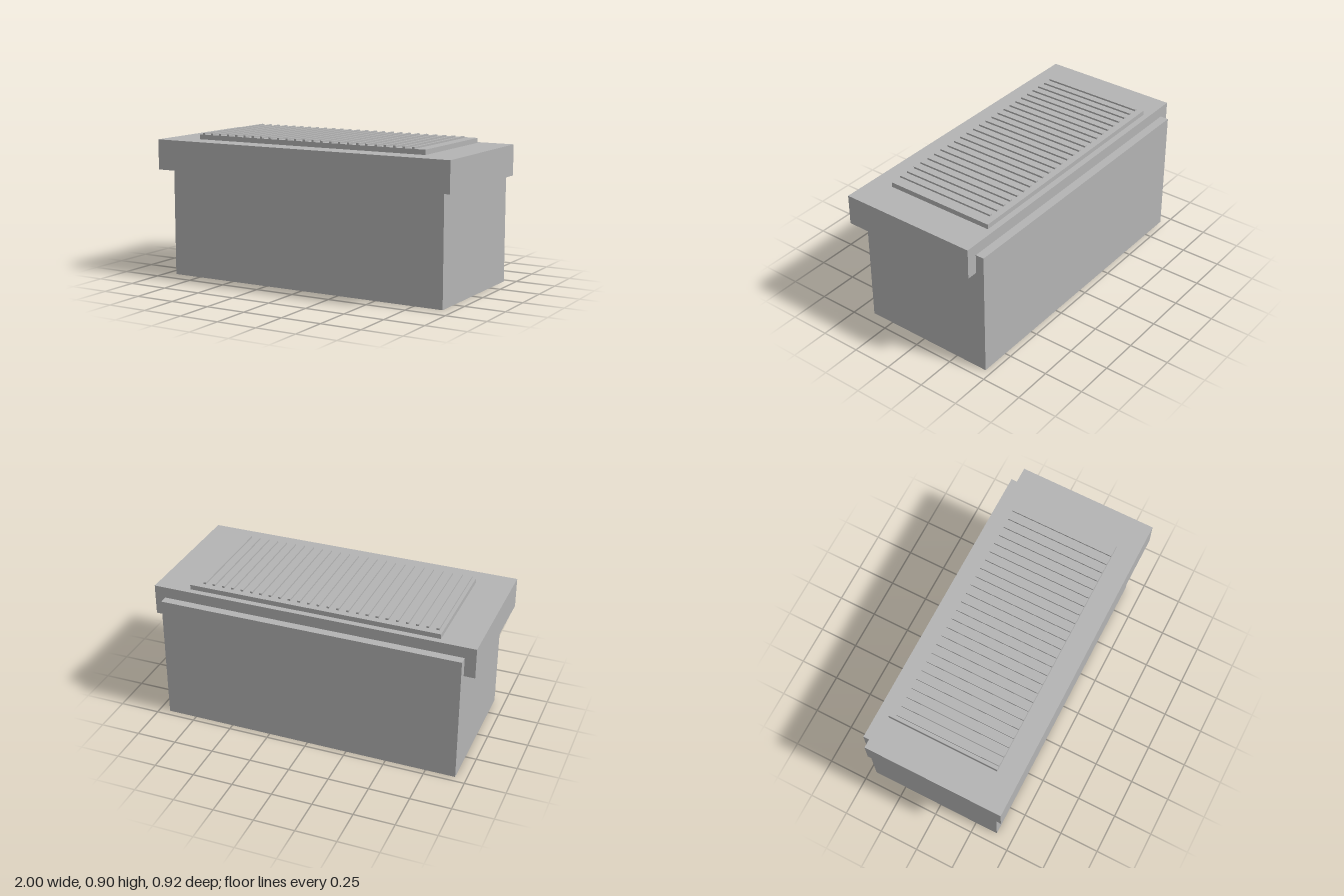
import * as THREE from 'three';

export function createModel() {
  const group = new THREE.Group();
  group.name = 'ribbedTopCabinet';
  const grey = new THREE.MeshStandardMaterial({ color: 0xb4b4b4 });
  grey.name = 'grey';

  // Box given by its limits on each axis
  const addBox = (name, [x0, x1], [y0, y1], [z0, z1], parent = group) => {
    const mesh = new THREE.Mesh(new THREE.BoxGeometry(x1 - x0, y1 - y0, z1 - z0), grey);
    mesh.position.set((x0 + x1) / 2, (y0 + y1) / 2, (z0 + z1) / 2);
    mesh.name = name;
    parent.add(mesh);
  };

  // Body: side profile with a raised lip along the back, extruded across the width
  const halfWidth = 0.933;
  const profile = new THREE.Shape([
    [-0.396, 0], [0.461, 0], [0.461, 0.789], [0.408, 0.789], [0.408, 0.67], [-0.396, 0.67],
  ].map(([x, y]) => new THREE.Vector2(x, y)));
  const bodyGeometry = new THREE.ExtrudeGeometry(profile, { depth: halfWidth * 2, bevelEnabled: false });
  bodyGeometry.translate(0, 0, -halfWidth);
  bodyGeometry.rotateY(Math.PI / 2);
  const body = new THREE.Mesh(bodyGeometry, grey);
  body.name = 'body';
  group.add(body);

  // Overhanging top slab and the raised plate on it
  addBox('topSlab', [-1, 1], [0.67, 0.858], [-0.408, 0.463]);
  addBox('ribPlate', [-0.78, 0.78], [0.858, 0.888], [-0.371, 0.327]);

  // Evenly spaced ribs, flush with the front of the plate
  const ribs = new THREE.Group();
  ribs.name = 'ribs';
  for (let i = 0; i < 25; i++) {
    const x = -0.749 + i * 0.0605;
    addBox('rib', [x - 0.008, x + 0.008], [0.888, 0.899], [-0.332, 0.327], ribs);
  }
  group.add(ribs);

  return group;
}
